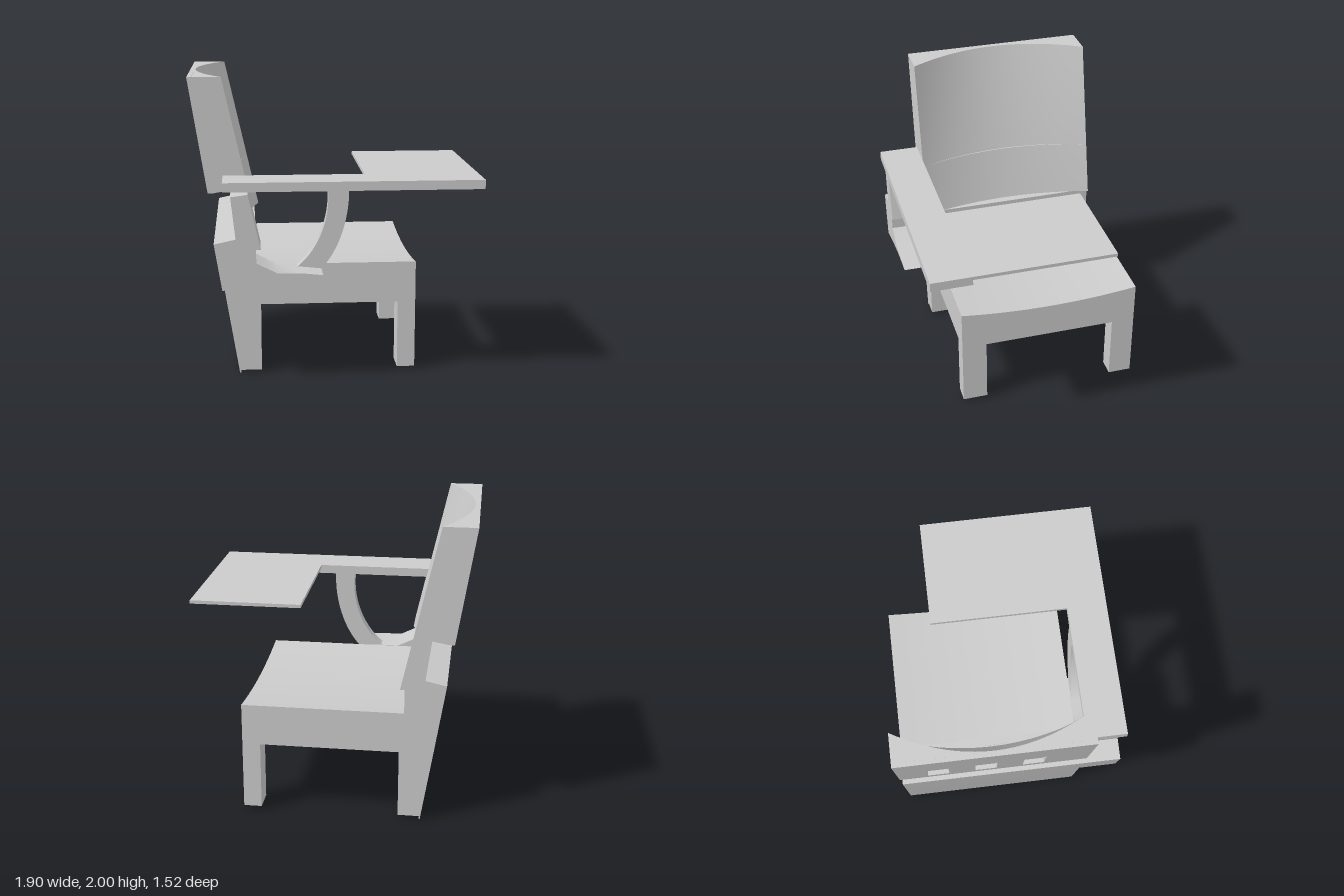
import * as THREE from 'three';
import { mergeGeometries, toCreasedNormals } from 'three/addons/utils/BufferGeometryUtils.js';
import { ParametricGeometry } from 'three/addons/geometries/ParametricGeometry.js';

const Z0 = -0.76, Z1 = 0.48, ZC = -0.14, HALF = 0.62; // chair width along z
const material = new THREE.MeshStandardMaterial({ color: 0xcccccc });

const polygon = (pts) => new THREE.Shape(pts.map(([x, y]) => new THREE.Vector2(x, y)));

function extrude(shape, depth) {
  const g = new THREE.ExtrudeGeometry(shape, { depth, bevelEnabled: false, curveSegments: 20 });
  return toCreasedNormals(g, 0.5);
}

// side profile (x, y) swept along z
const sideways = (shape, za, zb) => extrude(shape, zb - za).translate(0, 0, za);

// profile (-z, y) swept along x
const lengthways = (shape, xa, xb) => extrude(shape, xb - xa).rotateY(Math.PI / 2).translate(xa, 0, 0);

const box = (xa, xb, ya, yb, za, zb) =>
  new THREE.BoxGeometry(xb - xa, yb - ya, zb - za).translate((xa + xb) / 2, (ya + yb) / 2, (za + zb) / 2);

// block with a flat back and a hollow front, ruled between two levels
function hollowBlock(low, high) {
  const mix = THREE.MathUtils.lerp;
  const back = (s, v, p) => p.set(mix(low.back[0], high.back[0], v), mix(low.back[1], high.back[1], v), ZC + s * HALF);
  const front = (s, v, p) => {
    const edge = mix(low.edge[0], high.edge[0], v), mid = mix(low.mid, high.mid, v);
    return p.set(mid + (edge - mid) * s * s, mix(low.edge[1], high.edge[1], v), ZC + s * HALF);
  };
  const a = new THREE.Vector3(), b = new THREE.Vector3();
  const across = (s, v, t, p) => p.lerpVectors(back(s, v, a), front(s, v, b), t);
  return mergeGeometries([
    new ParametricGeometry((u, v, p) => front(1 - 2 * u, v, p), 32, 4),
    new ParametricGeometry((u, v, p) => back(2 * u - 1, v, p), 32, 1),
    new ParametricGeometry((u, v, p) => across(2 * u - 1, 1, v, p), 32, 1),
    new ParametricGeometry((u, v, p) => across(1 - 2 * u, 0, v, p), 32, 1),
    new ParametricGeometry((u, v, p) => across(1, v, u, p), 1, 1),
    new ParametricGeometry((u, v, p) => across(-1, v, 1 - u, p), 1, 1),
  ]);
}

export function createModel() {
  const group = new THREE.Group();
  const add = (name, geometry) => {
    const mesh = new THREE.Mesh(geometry, material);
    mesh.name = name;
    group.add(mesh);
  };

  // seat, dished across its width
  const seat = new THREE.Shape();
  seat.moveTo(-Z1, 0.48);
  seat.lineTo(-Z0, 0.48);
  seat.lineTo(-Z0, 0.757);
  seat.quadraticCurveTo(-ZC, 0.677, -Z1, 0.757);
  seat.closePath();
  add('seat', lengthways(seat, -0.52, 0.55));

  // four legs and the panel closing the back
  for (const [za, zb] of [[Z0, -0.6], [0.31, Z1]]) {
    add('frontLeg', box(0.43, 0.55, 0.02, 0.48, za, zb));
    add('rearLeg', sideways(polygon([[-0.64, 0.02], [-0.49, 0.02], [-0.49, 0.48], [-0.715, 0.48]]), za, zb));
  }
  add('rearPanel', sideways(polygon([[-0.638, 0], [-0.63, 0], [-0.66, 0.26], [-0.66, 0.48], [-0.715, 0.48]]), Z0, Z1));

  // rear beam with the ledge behind the backrest
  add('rearBeam', sideways(polygon([
    [-0.715, 0.48], [-0.52, 0.48], [-0.52, 0.92], [-0.64, 0.92], [-0.65, 0.99], [-0.79, 0.96],
  ]), Z0, Z1));

  // hollow backrest: narrow neck below, thick part above
  add('backrestNeck', hollowBlock(
    { back: [-0.642, 0.92], edge: [-0.49, 0.92], mid: -0.575 },
    { back: [-0.69, 1.28], edge: [-0.57, 1.28], mid: -0.677 }));
  add('backrest', hollowBlock(
    { back: [-0.8, 1.24], edge: [-0.57, 1.28], mid: -0.685 },
    { back: [-0.92, 2], edge: [-0.73, 2], mid: -0.915 }));

  // rear skin of the backrest with three upright recesses
  const skin = polygon([[-Z1, 1.24], [-Z0, 1.24], [-Z0, 2], [-Z1, 2]]);
  for (const z of [-0.5, -0.19, 0.12]) {
    skin.holes.push(new THREE.Path([
      [-z - 0.07, 1.32], [-z - 0.07, 1.64], [-z + 0.07, 1.64], [-z + 0.07, 1.32],
    ].map(([x, y]) => new THREE.Vector2(x, y))));
  }
  const skinGeometry = lengthways(skin, 0, 0.03);
  const pos = skinGeometry.attributes.position;
  for (let i = 0; i < pos.count; i++) {
    pos.setX(i, pos.getX(i) - 0.83 - (pos.getY(i) - 1.24) * 0.158); // lean back
  }
  skinGeometry.computeVertexNormals();
  add('backrestSkin', skinGeometry);

  // side bracket carrying the arm
  const bracket = polygon([
    [-0.74, 0.65], [-0.79, 0.96], [-0.65, 0.99], [-0.68, 1.265], [-0.57, 1.28], [-0.49, 0.92],
    [-0.52, 0.92], [-0.52, 0.83], [-0.38, 0.76], [-0.23, 0.76], [-0.09, 0.745],
  ]);
  bracket.quadraticCurveTo(-0.4, 0.742, -0.74, 0.65);
  add('armBracket', sideways(bracket, Z1, 0.74));

  // curved arm support
  const support = new THREE.Shape();
  support.moveTo(-0.27, 0.745);
  support.bezierCurveTo(-0.12, 0.85, -0.02, 1.08, -0.05, 1.3);
  support.lineTo(0.09, 1.3);
  support.bezierCurveTo(0.1, 1.1, 0.03, 0.87, -0.09, 0.745);
  support.closePath();
  add('armSupport', sideways(support, 0.49, 0.57));

  // arm and writing board
  add('arm', box(-0.73, 0.95, 1.3, 1.36, 0.49, 0.76));
  add('writingBoard', box(0.2, 0.95, 1.337, 1.36, -0.45, 0.49));

  return group;
}
